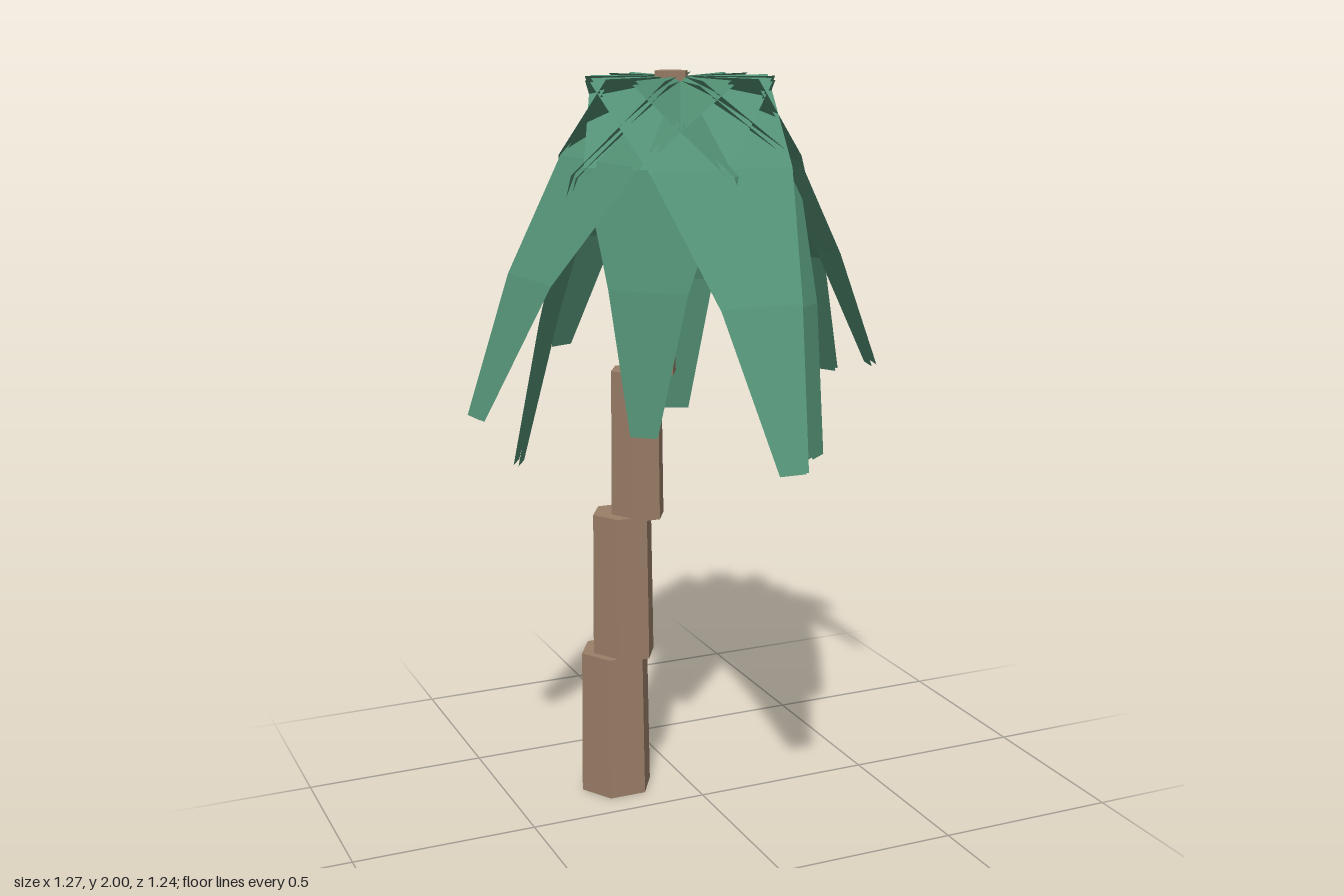
import * as THREE from 'three';

const bark = new THREE.MeshStandardMaterial({ color: 0x9a7f68, flatShading: true });
const leaf = new THREE.MeshStandardMaterial({ color: 0x539175, flatShading: true, side: THREE.DoubleSide });

// Tapering frond of two close sheets, open at the rim, bent along a path of
// [outward, height] points.
function frondGeometry(path) {
  const widths = [0.495, 0.38, 0.21, 0.07];
  const half = 0.007;
  const positions = [];
  const index = [];
  path.forEach(([d, y], i) => {
    const prev = path[Math.max(i - 1, 0)];
    const next = path[Math.min(i + 1, path.length - 1)];
    const n = new THREE.Vector2(prev[1] - next[1], next[0] - prev[0]).normalize().multiplyScalar(half);
    const w = widths[i] / 2;
    // Corners: upper -x, upper +x, lower +x, lower -x
    positions.push(-w, y + n.y, d + n.x, w, y + n.y, d + n.x);
    positions.push(w, y - n.y, d - n.x, -w, y - n.y, d - n.x);
    if (i === 0) return;
    const a = (i - 1) * 4, b = i * 4;
    for (const j of [0, 2]) {
      index.push(a + j, b + j, b + j + 1, a + j, b + j + 1, a + j + 1);
    }
  });
  const g = new THREE.BufferGeometry();
  g.setAttribute('position', new THREE.Float32BufferAttribute(positions, 3));
  g.setIndex(index);
  const flat = g.toNonIndexed();
  flat.computeVertexNormals();
  return flat;
}

export function createModel() {
  const group = new THREE.Group();

  // Trunk: stacked hexagonal pieces that lean and shrink upwards [x, z, radius]
  const trunk = new THREE.Group();
  trunk.name = 'trunk';
  [
    [-0.193, -0.172, 0.103],
    [-0.17, -0.162, 0.09],
    [-0.13, -0.148, 0.077],
    [-0.085, -0.13, 0.063],
    [-0.04, -0.112, 0.049],
  ].forEach(([x, z, r], i) => {
    const g = new THREE.CylinderGeometry(r * 0.95, r, i < 4 ? 0.41 : 0.4, 6);
    g.rotateY(Math.PI / 6);
    const piece = new THREE.Mesh(g, bark);
    piece.name = 'trunkSegment' + (i + 1);
    piece.position.set(x, i * 0.4 + (i < 4 ? 0.205 : 0.2), z);
    trunk.add(piece);
  });
  group.add(trunk);

  // Crown: nine drooping fronds, 40 degrees apart; bends as [outward, height]
  const crown = new THREE.Group();
  crown.name = 'crown';
  crown.position.set(-0.016, 0, -0.107);
  [
    [[0.27, 1.77], [0.405, 1.52], [0.535, 1.2]],
    [[0.245, 1.75], [0.345, 1.4], [0.4, 1.01]],
    [[0.28, 1.765], [0.525, 1.46], [0.715, 1.09]],
    [[0.21, 1.76], [0.27, 1.46], [0.31, 1.09]],
    [[0.25, 1.775], [0.455, 1.49], [0.615, 1.15]],
    [[0.25, 1.74], [0.36, 1.34], [0.455, 0.93]],
    [[0.27, 1.77], [0.4, 1.53], [0.525, 1.2]],
    [[0.245, 1.75], [0.345, 1.4], [0.4, 1.01]],
    [[0.28, 1.765], [0.525, 1.46], [0.715, 1.09]],
  ].forEach((bends, i) => {
    const frond = new THREE.Mesh(frondGeometry([[0, 1.98], ...bends]), leaf);
    frond.name = 'frond' + (i + 1);
    frond.rotation.y = Math.PI / 2 - THREE.MathUtils.degToRad(11.3 + i * 40);
    crown.add(frond);
  });
  group.add(crown);

  return group;
}
